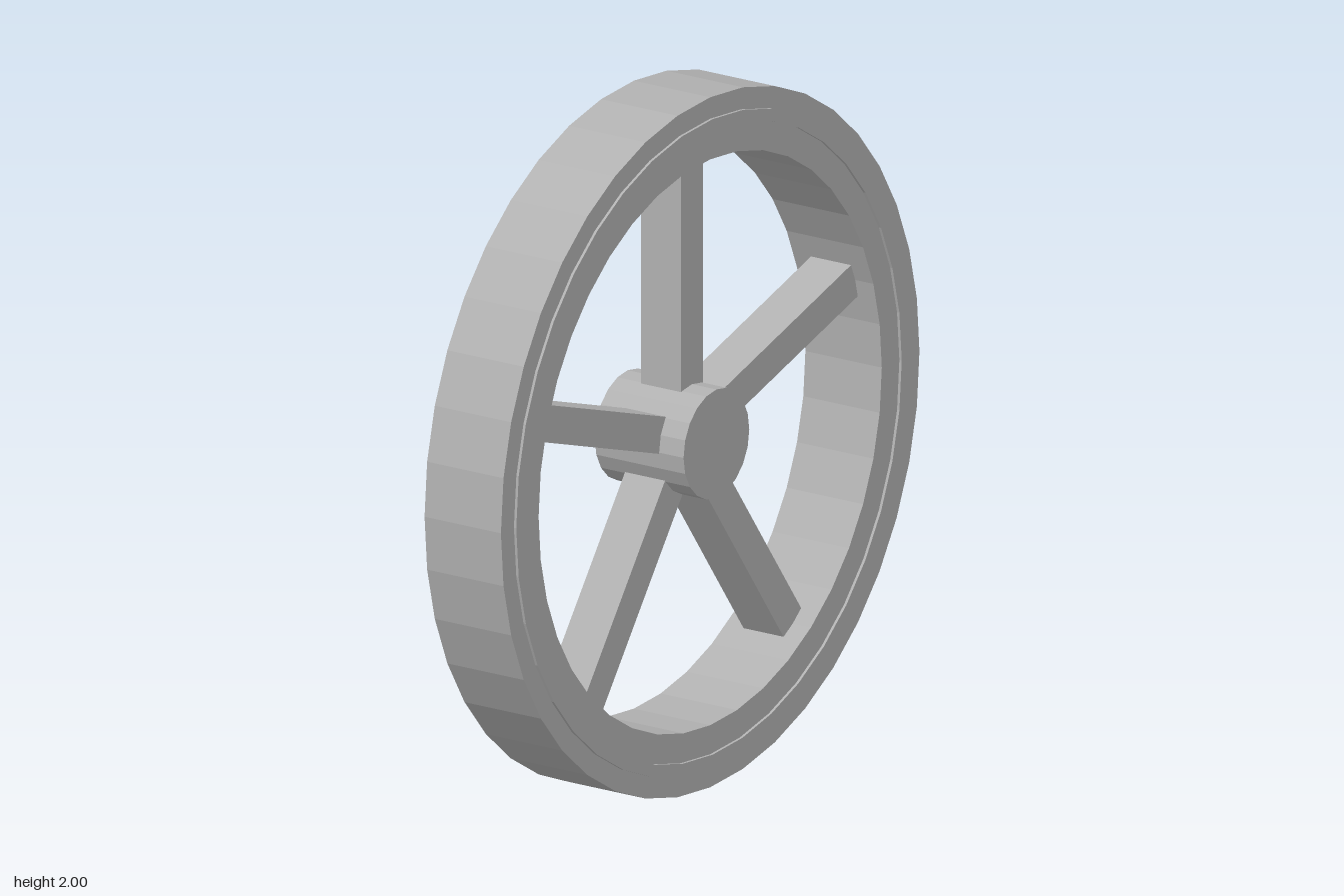
import * as THREE from 'three';

export function createModel() {
  const model = new THREE.Group();
  const grey = new THREE.MeshStandardMaterial({ color: 0xb0b0b0, flatShading: true });
  grey.name = 'light grey';

  const add = (name, geometry) => {
    const mesh = new THREE.Mesh(geometry, grey);
    mesh.name = name;
    mesh.position.y = 1;
    model.add(mesh);
    return mesh;
  };

  // Rectangular-section ring around the z axis
  const ring = (inner, outer, back, front) => new THREE.LatheGeometry([
    new THREE.Vector2(inner, back),
    new THREE.Vector2(outer, back),
    new THREE.Vector2(outer, front),
    new THREE.Vector2(inner, front),
    new THREE.Vector2(inner, back),
  ], 40).rotateX(Math.PI / 2);

  // Rim and the thin raised band on its front
  add('rim', ring(0.82, 1, -0.129, 0.129));
  add('frontBand', ring(0.904, 0.938, 0.12, 0.137));

  // Hub
  add('hub', new THREE.CylinderGeometry(0.157, 0.157, 0.3, 20).rotateX(Math.PI / 2));

  // Five straight spokes from hub to rim
  const start = 0.1, end = 0.825;
  for (let i = 0; i < 5; i++) {
    const spoke = new THREE.BoxGeometry(0.104, end - start, 0.135);
    spoke.translate(0, (start + end) / 2, 0);
    add('spoke' + (i + 1), spoke).rotation.z = i * Math.PI * 2 / 5;
  }

  return model;
}
